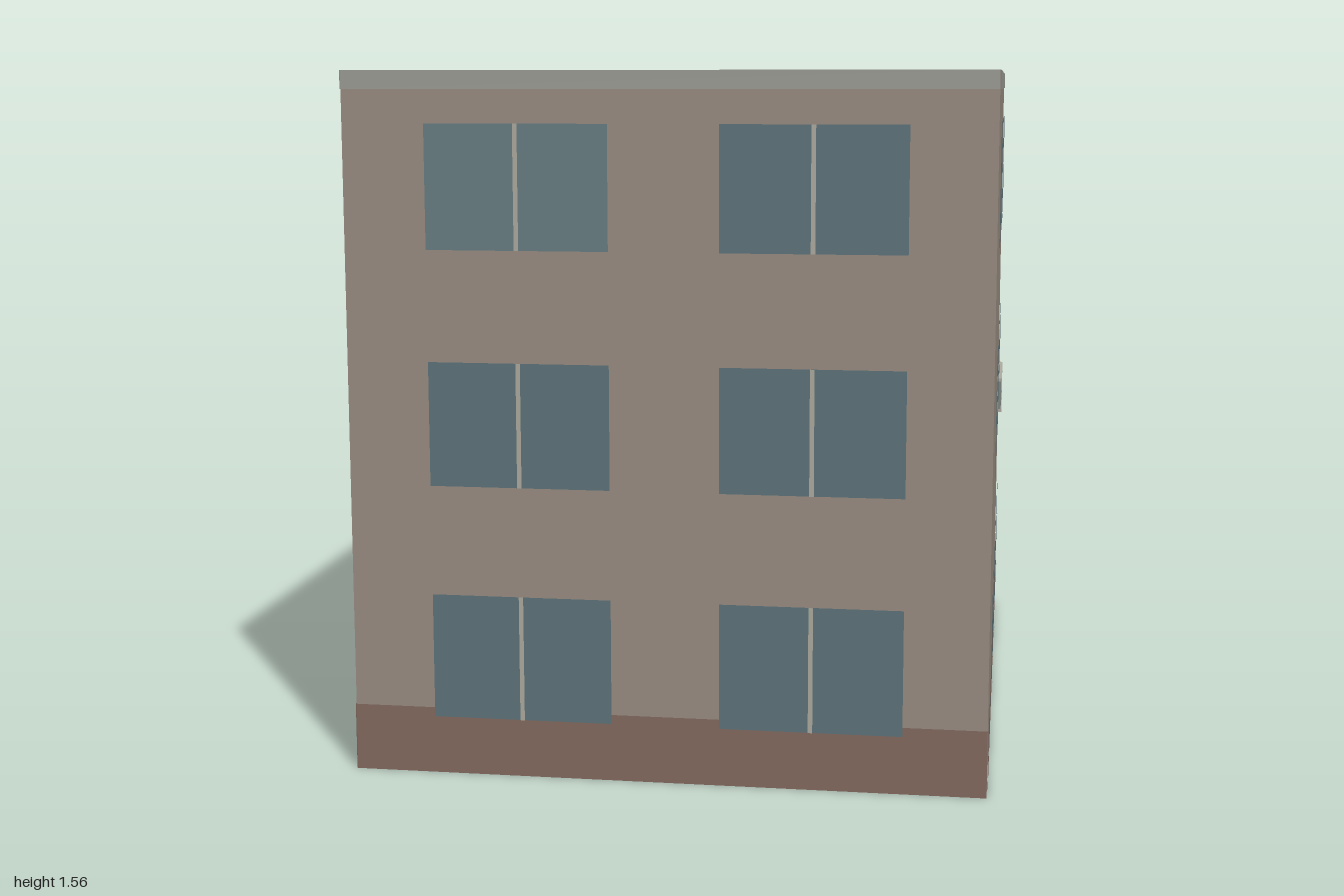
import * as THREE from 'three';

const HEIGHT = 1.56;
const mat = (color) => new THREE.MeshStandardMaterial({ color, side: THREE.DoubleSide });
const wallMat = mat(0x9b8f83), plinthMat = mat(0x866c61), corniceMat = mat(0x9f9f98);
const roofMat = mat(0x777f7b), glassMat = mat(0x5f757c), paleGlassMat = mat(0x6a7f85);
const trimMat = mat(0xb0ada2), panelMat = mat(0x808983);

// footprint corners [x, z], anticlockwise seen from above
const corners = [[-0.912, 0.61], [0.444, 0.995], [0.908, -0.645], [-0.338, -1], [-0.495, -0.88]];
const floors = [[0.13, 0.41], [0.655, 0.93], [1.175, 1.447]];
const pair = [[0.13, 0.415], [0.585, 0.87]];

// window columns as fractions of each wall; storey lists; [storey, column] pairs
const walls = [
  { name: 'frontWall', columns: pair, split: [0, 1, 2], pale: ['2,0'], rails: [] },
  { name: 'leftSideWall', columns: [[0.091, 0.284], [0.4, 0.594], [0.71, 0.905]], split: [0],
    pale: ['2,1', '1,0'], rails: ['1,2'] },
  { name: 'backWall', columns: pair, split: [0, 1, 2], pale: ['2,0'], rails: [] },
  { name: 'chamferWall', columns: [[0.22, 0.78]], split: [0, 1, 2], pale: [], rails: [] },
  { name: 'rightSideWall', columns: pair, split: [0], pale: [], rails: ['1,0', '2,0'] },
];

// flat rectangle in wall space, z is the distance out from the wall
function panel(group, name, x0, x1, y0, y1, z, material) {
  const mesh = new THREE.Mesh(new THREE.PlaneGeometry(x1 - x0, y1 - y0), material);
  mesh.position.set((x0 + x1) / 2, (y0 + y1) / 2, z);
  mesh.name = name;
  group.add(mesh);
}

function bar(group, name, x0, x1, y0, y1, z, depth, material) {
  const mesh = new THREE.Mesh(new THREE.BoxGeometry(x1 - x0, y1 - y0, depth), material);
  mesh.position.set((x0 + x1) / 2, (y0 + y1) / 2, z);
  mesh.name = name;
  group.add(mesh);
}

// shallow balcony rail in front of a window
function addRailing(group, x0, x1, y) {
  const railing = new THREE.Group();
  railing.name = 'balconyRailing';
  bar(railing, 'railingPanel', x0, x1, y + 0.005, y + 0.085, 0.006, 0.008, panelMat);
  for (const h of [0, 0.083]) bar(railing, 'handrail', x0 - 0.004, x1 + 0.004, y + h, y + h + 0.008, 0.006, 0.012, trimMat);
  group.add(railing);
}

function buildWall(spec, a, b) {
  const group = new THREE.Group();
  group.name = spec.name;
  const dx = b[0] - a[0], dz = b[1] - a[1], length = Math.hypot(dx, dz);
  group.position.set(a[0], 0, a[1]);
  group.rotation.y = -Math.atan2(dz, dx);

  panel(group, 'wallFace', 0, length, 0, HEIGHT, 0, wallMat);
  panel(group, 'plinth', 0, length, 0, 0.15, 0.002, plinthMat);
  panel(group, 'cornice', 0, length, 1.52, HEIGHT, 0.002, corniceMat);

  floors.forEach(([y0, y1], storey) => spec.columns.forEach(([f0, f1], column) => {
    const x0 = f0 * length, x1 = f1 * length, mid = (x0 + x1) / 2, key = `${storey},${column}`;
    panel(group, 'windowPane', x0, x1, y0, y1, 0.004, spec.pale.includes(key) ? paleGlassMat : glassMat);
    const half = spec.name === 'chamferWall' ? 0.003 : 0.005;
    if (spec.split.includes(storey)) panel(group, 'mullion', mid - half, mid + half, y0, y1, 0.006, trimMat);
    if (spec.rails.includes(key)) addRailing(group, x0, x1, y0);
  }));
  return group;
}

export function createModel() {
  const model = new THREE.Group();
  model.name = 'apartmentBlock';
  walls.forEach((spec, i) => model.add(buildWall(spec, corners[i], corners[(i + 1) % corners.length])));

  // flat roof; the underside of the block stays open
  const outline = new THREE.Shape(corners.map(([x, z]) => new THREE.Vector2(x, -z)));
  const roof = new THREE.Mesh(new THREE.ShapeGeometry(outline).rotateX(-Math.PI / 2), roofMat);
  roof.position.y = HEIGHT;
  roof.name = 'roof';
  model.add(roof);
  return model;
}
